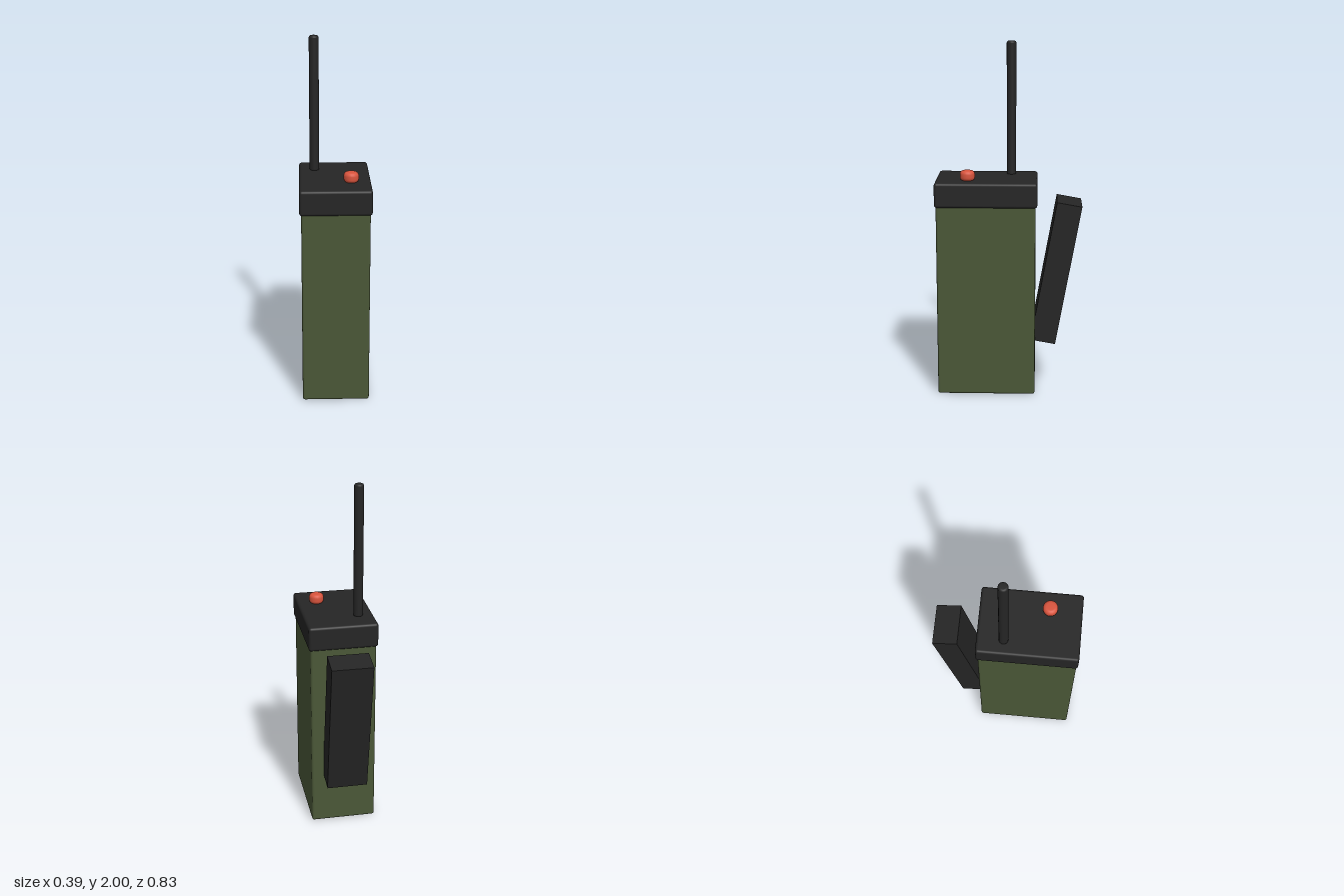
import * as THREE from 'three';
import { RoundedBoxGeometry } from 'three/addons/geometries/RoundedBoxGeometry.js';

function material(name, color) {
  const m = new THREE.MeshStandardMaterial({ color });
  m.name = name;
  return m;
}

// Upright cylinder with both rims rounded, standing on y = 0
function roundedCylinder(radius, height, bevel, segments) {
  const points = [new THREE.Vector2(0, 0)];
  const steps = 4;
  for (let i = 0; i <= steps; i++) {
    const a = (i / steps) * Math.PI / 2;
    points.push(new THREE.Vector2(radius - bevel + bevel * Math.sin(a), bevel - bevel * Math.cos(a)));
  }
  for (let i = 0; i <= steps; i++) {
    const a = (i / steps) * Math.PI / 2;
    points.push(new THREE.Vector2(radius - bevel + bevel * Math.cos(a), height - bevel + bevel * Math.sin(a)));
  }
  points.push(new THREE.Vector2(0, height));
  return new THREE.LatheGeometry(points, segments);
}

export function createModel() {
  const green = material('olive green', 0x4a5737);
  const black = material('matte black', 0x252525);
  const red = material('button red', 0xd9543d);

  const model = new THREE.Group();
  model.name = 'fieldRadio';

  function add(name, geometry, mat, x, y, z) {
    const mesh = new THREE.Mesh(geometry, mat);
    mesh.name = name;
    mesh.position.set(x, y, z);
    model.add(mesh);
    return mesh;
  }

  // Case and its slightly overhanging lid
  add('body', new RoundedBoxGeometry(0.374, 1.115, 0.556, 3, 0.013), green, 0, 0.5575, 0.127);
  add('lid', new RoundedBoxGeometry(0.394, 0.14, 0.574, 3, 0.015), black, 0, 1.17, 0.126);

  // Aerial and control knob on the lid
  add('antenna', roundedCylinder(0.027, 0.766, 0.012, 20), black, -0.11, 1.234, -0.01);
  add('knob', roundedCylinder(0.042, 0.058, 0.02, 20), red, 0.088, 1.237, 0.232);

  // Handset leaning away from the back
  const handset = add('handset', new THREE.BoxGeometry(0.233, 0.824, 0.143), black, 0, 0.701, -0.27);
  handset.rotation.x = -0.178;

  return model;
}
